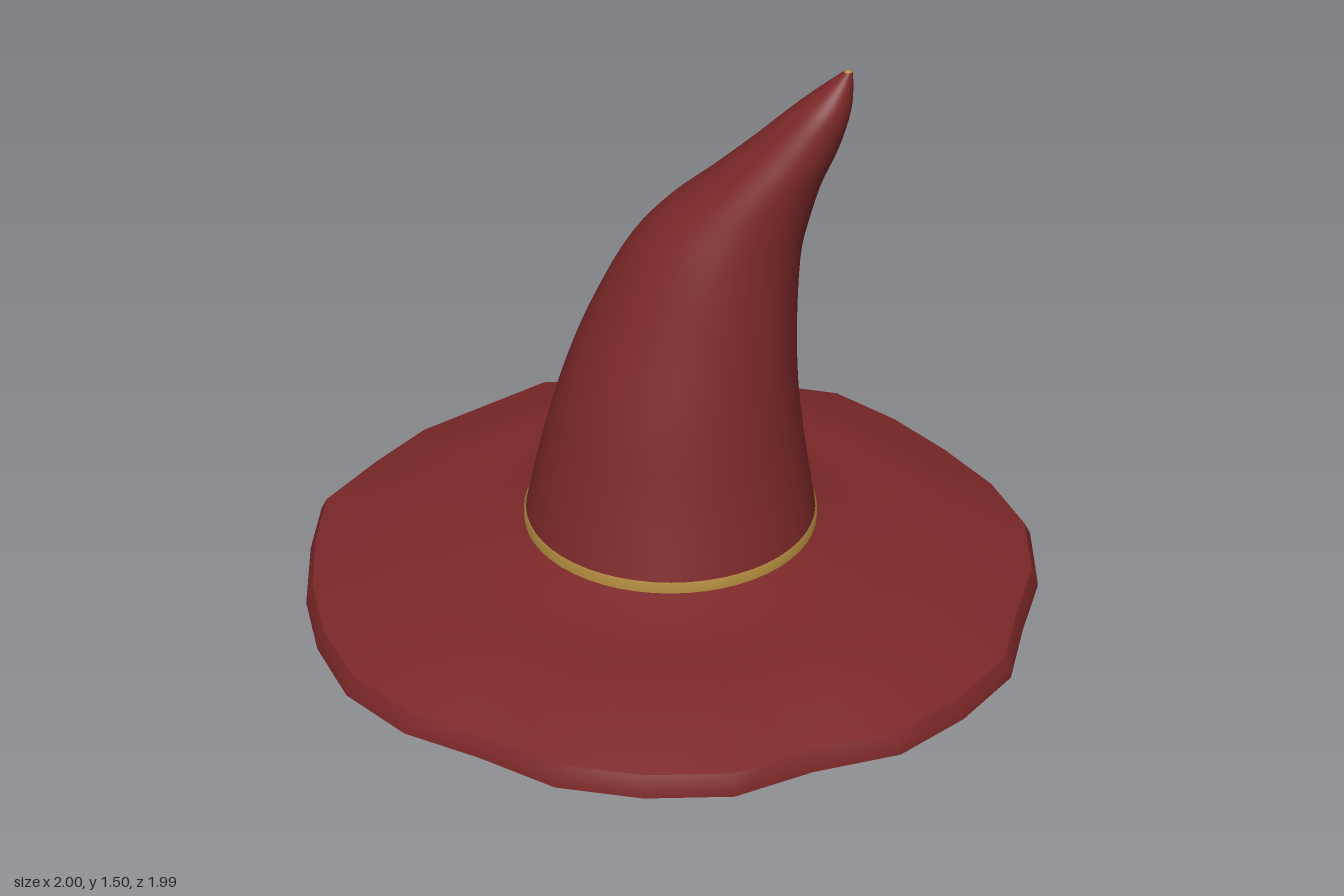
import * as THREE from 'three';
import { toCreasedNormals } from 'three/addons/utils/BufferGeometryUtils.js';

// Skin closed rings of points into a surface; normals face outward when rings go upward.
function loft(rings) {
  const n = rings[0].length, pos = [], idx = [];
  rings.forEach(r => r.forEach(p => pos.push(p.x, p.y, p.z)));
  for (let i = 0; i < rings.length - 1; i++) {
    for (let j = 0; j < n; j++) {
      const k = (j + 1) % n, a = i * n + j, b = a + n, c = i * n + k, d = c + n;
      idx.push(a, b, c, c, b, d);
    }
  }
  const g = new THREE.BufferGeometry();
  g.setAttribute('position', new THREE.Float32BufferAttribute(pos, 3));
  g.setIndex(idx);
  g.computeVertexNormals();
  return g;
}

function ellipse(y, xl, xr, zf, zb, n = 54) {
  return Array.from({ length: n }, (_, j) => {
    const a = j / n * Math.PI * 2;
    return new THREE.Vector3((xl + xr) / 2 + Math.cos(a) * (xr - xl) / 2, y,
      (zf + zb) / 2 + Math.sin(a) * (zf - zb) / 2);
  });
}

export function createModel() {
  const group = new THREE.Group();
  const red = new THREE.MeshStandardMaterial({ color: 0x7c2829 });
  red.name = 'redFelt';
  const gold = new THREE.MeshStandardMaterial({ color: 0xb08a3e });
  gold.name = 'goldCloth';
  const add = (name, geometry, material) => {
    const m = new THREE.Mesh(geometry, material);
    m.name = name;
    group.add(m);
    return m;
  };

  // Crown sections: y, left x, right x, front z, back z
  const sections = [
    [0.21, -0.37, 0.41, 0.387, -0.397], [0.4, -0.33, 0.375, 0.335, -0.37],
    [0.6, -0.275, 0.35, 0.285, -0.335], [0.8, -0.2, 0.342, 0.225, -0.295],
    [1.0, -0.095, 0.35, 0.165, -0.25], [1.1, -0.01, 0.37, 0.13, -0.23],
    [1.2, 0.105, 0.398, 0.095, -0.205], [1.3, 0.215, 0.438, 0.055, -0.175],
    [1.4, 0.32, 0.464, 0.01, -0.145], [1.46, 0.39, 0.466, -0.035, -0.12],
    [1.5, 0.44, 0.462, -0.075, -0.1],
  ];
  const xCurve = new THREE.CatmullRomCurve3(sections.map(s => new THREE.Vector3(s[1], s[0], s[2])));
  const zCurve = new THREE.CatmullRomCurve3(sections.map(s => new THREE.Vector3(s[3], s[0], s[4])));
  const crownRings = [], liningRings = [];
  const steps = 40, inset = 0.008;
  for (let i = 0; i <= steps; i++) {
    const p = xCurve.getPoint(i / steps), q = zCurve.getPoint(i / steps);
    crownRings.push(ellipse(p.y, p.x, p.z, q.x, q.z));
    liningRings.unshift(ellipse(p.y, p.x + inset, p.z - inset, q.x - inset, q.z + inset));
  }
  add('crown', loft(crownRings), red);

  // Gold band, lining inside the crown and the tiny tip of it showing on top
  add('band', loft([ellipse(0.18, -0.373, 0.413, 0.39, -0.4),
    ellipse(0.22, -0.373, 0.413, 0.39, -0.4), ellipse(0.222, -0.36, 0.4, 0.38, -0.39)]), gold);
  liningRings.push(ellipse(0.15, -0.375, 0.415, 0.39, -0.4));
  add('crownLining', loft(liningRings), gold);
  const tip = add('liningTip', new THREE.SphereGeometry(0.012, 12, 8), gold);
  tip.position.set(0.451, 1.492, -0.088);

  // Uneven brim outline, from +x towards +z
  const outline = [
    [0.99, 0], [1, 0.22], [0.92, 0.43], [0.8, 0.62], [0.61, 0.75], [0.45, 0.9], [0.24, 0.97],
    [0.02, 0.99], [-0.2, 0.93], [-0.41, 0.89], [-0.61, 0.78], [-0.76, 0.61], [-0.87, 0.42],
    [-0.95, 0.2], [-1, 0], [-0.94, -0.23], [-0.87, -0.44], [-0.62, -0.81], [-0.41, -0.89],
    [-0.2, -0.97], [0, -0.99], [0.25, -1], [0.45, -0.9], [0.63, -0.77], [0.8, -0.62],
    [0.93, -0.44], [0.99, -0.22],
  ];
  const edge = outline.flatMap(([x, z], i) => {
    const [u, v] = outline[(i + 1) % outline.length];
    return [[x, z], [(x + u) / 2, (z + v) / 2]];
  });
  // Brim ring blending from the round crown base to the uneven outline
  const brimRing = (r, y) => edge.map(([x, z]) => {
    const t = (r - 0.392) / 0.608, a = Math.atan2(z, x);
    return new THREE.Vector3(
      (0.02 + Math.cos(a) * 0.392) * (1 - t) + x * t, y,
      (-0.005 + Math.sin(a) * 0.392) * (1 - t) + z * t);
  });
  const brimPart = (name, profile, material) =>
    add(name, toCreasedNormals(loft(profile.map(([r, y]) => brimRing(r, y))), 0.5), material);

  brimPart('brim', [
    [0.52, 0.122], [0.7, 0.1], [0.85, 0.055], [0.975, 0.01], [0.985, 0],
    [1, 0], [0.997, 0.022], [0.98, 0.055], [0.85, 0.097], [0.71, 0.135],
    [0.63, 0.141], [0.55, 0.148], [0.47, 0.168], [0.385, 0.195],
  ], red);
  brimPart('brimLining', [[0.392, 0.15], [0.52, 0.122]], gold);

  return group;
}
